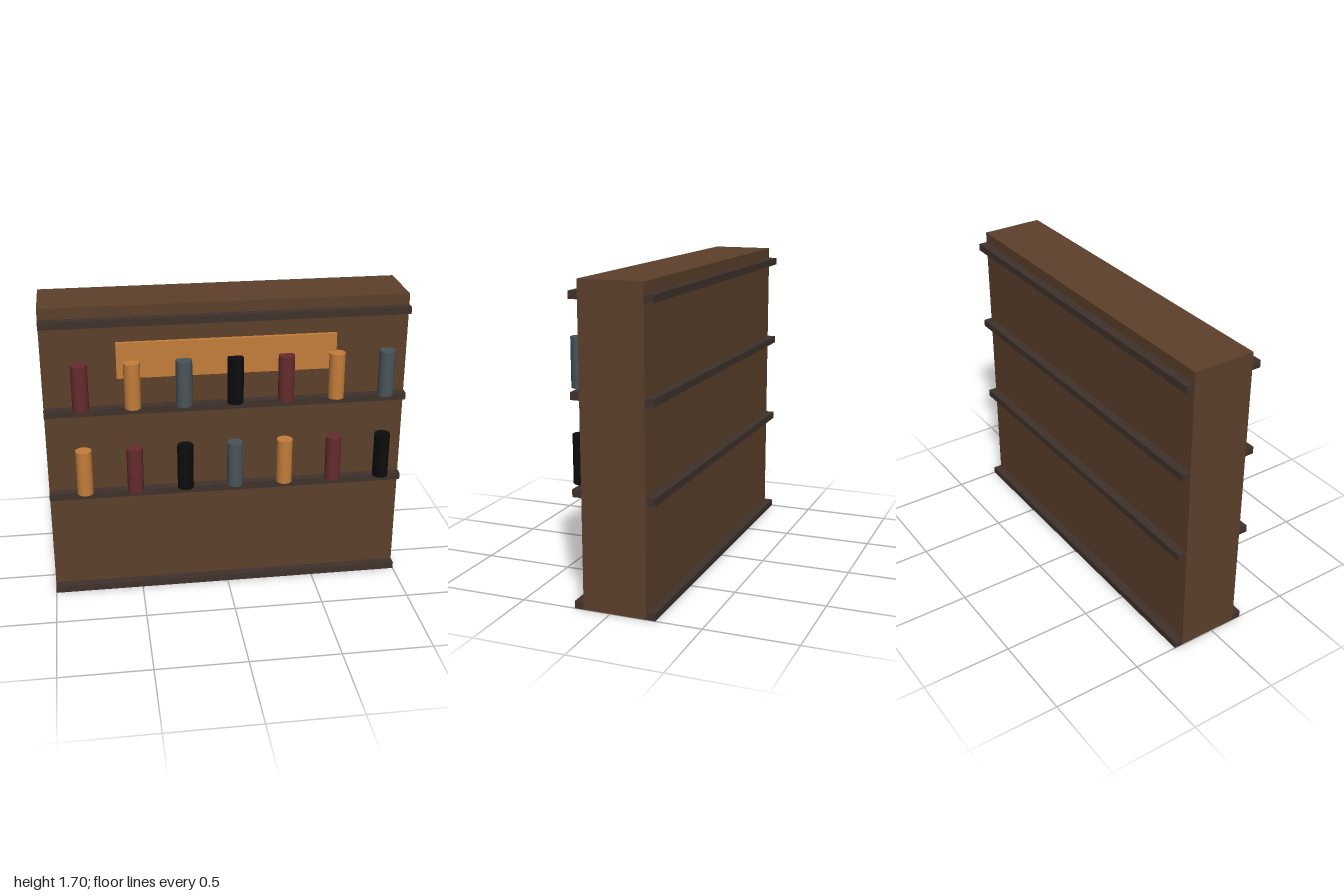
import * as THREE from 'three';

const mat = (name, color) => {
  const m = new THREE.MeshStandardMaterial({ color });
  m.name = name;
  return m;
};

export function createModel() {
  const wood = mat('brown wood', 0x5c402b);
  const trim = mat('dark wood', 0x40322c);
  const amber = mat('amber', 0xc47e3a);
  const wine = mat('wine red', 0x662c2e);
  const slate = mat('slate grey', 0x4a5559);
  const black = mat('black', 0x0c0c0c);

  const model = new THREE.Group();
  model.name = 'bottleShelf';

  // Box given by its ranges in y and z, centred on x
  const box = (name, width, y0, y1, z0, z1, material) => {
    const mesh = new THREE.Mesh(new THREE.BoxGeometry(width, y1 - y0, z1 - z0), material);
    mesh.position.set(0, (y0 + y1) / 2, (z0 + z1) / 2);
    mesh.name = name;
    model.add(mesh);
  };

  // Cabinet body and the sign panel on its front
  box('cabinet', 2, 0, 1.7, -0.2, 0.15, wood);
  box('signPanel', 1.2, 1.3, 1.5, 0.15, 0.175, amber);

  // Shelf ledges standing out at front and back
  for (const y of [0, 0.6, 1.1, 1.6]) {
    box('frontLedge', 2, y, y + 0.04, 0.15, 0.2, trim);
    box('backLedge', 2, y, y + 0.04, -0.25, -0.2, trim);
  }

  // Two rows of bottles resting on the middle ledges
  const bottleShape = new THREE.CylinderGeometry(0.045, 0.045, 0.26, 12);
  const rows = [
    { y: 0.64, colors: [amber, wine, black, slate, amber, wine, black] },
    { y: 1.14, colors: [wine, amber, slate, black, wine, amber, slate] },
  ];
  for (const { y, colors } of rows) {
    colors.forEach((material, i) => {
      const bottle = new THREE.Mesh(bottleShape, material);
      bottle.position.set(-0.8 + i * 0.28, y + 0.13, 0.202);
      bottle.name = 'bottle';
      model.add(bottle);
    });
  }

  return model;
}
